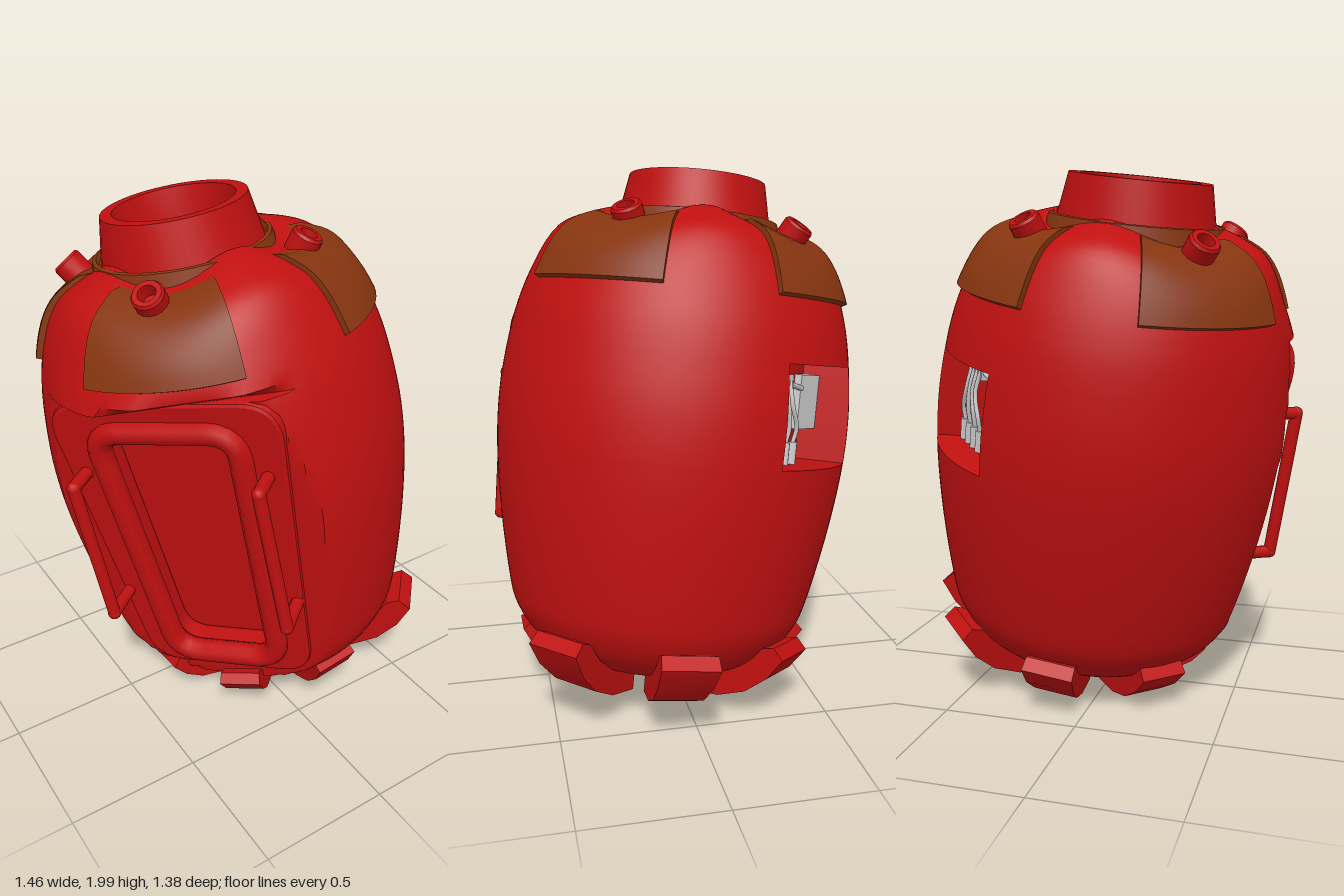
import * as THREE from 'three';
import { toCreasedNormals } from 'three/addons/utils/BufferGeometryUtils.js';

const mat = (color) => new THREE.MeshStandardMaterial({ color, side: THREE.DoubleSide });
const red = mat(0xc01010), olive = mat(0x86350f), green = mat(0x5a6010), grey = mat(0xcccccc);
const V = (x, y, z) => new THREE.Vector3(x, y, z);
const { degToRad: rad, radToDeg: deg, lerp, clamp, smoothstep } = THREE.MathUtils;
const DOOR = -52, HOOD = 1.46, TILT = 0.105;
const WIN = { a0: 112, a1: 154, t0: 0.95, t1: 1.31, r: 0.49 };

// barrel profile: radius by height along the axis
const profile = new THREE.SplineCurve([
  [0.24, 0.1], [0.37, 0.14], [0.48, 0.21], [0.55, 0.3], [0.585, 0.4], [0.635, 0.65], [0.668, 0.9], [0.675, 1.1],
  [0.66, 1.28], [0.63, 1.45], [0.575, 1.61], [0.5, 1.715], [0.4, 1.77], [0.28, 1.81],
].map((p) => new THREE.Vector2(...p))).getPoints(52);

function radiusAt(t) {
  const i = Math.min(Math.max(profile.findIndex((p) => p.y >= t), 1), profile.length - 1);
  const a = profile[i - 1], b = profile[i];
  return lerp(a.x, b.x, clamp((t - a.y) / (b.y - a.y), 0, 1));
}
// the shoulder dips under the four pads and rises between them
const lift = (a, t) => smoothstep(t, 1.58, 1.74) * (0.008 + 0.024 * Math.cos(4 * rad(a)));
const polar = (a, r, t) => V(r * Math.sin(rad(a)), t + lift(a, t), r * Math.cos(rad(a)));
const range = (a, b, n) => Array.from({ length: n + 1 }, (_, i) => a + ((b - a) * i) / n);

// surface through a grid of points, with optional cells left out
function surface(fn, us, vs, skip = () => false) {
  const pos = [];
  for (let i = 0; i + 1 < us.length; i++) {
    for (let j = 0; j + 1 < vs.length; j++) {
      if (skip((us[i] + us[i + 1]) / 2, (vs[j] + vs[j + 1]) / 2)) continue;
      const [a, b, c, d] = [[i, j], [i + 1, j], [i + 1, j + 1], [i, j + 1]].map(([k, l]) => fn(us[k], vs[l]));
      for (const p of [a, b, c, a, c, d]) pos.push(p.x, p.y, p.z);
    }
  }
  const g = new THREE.BufferGeometry();
  g.setAttribute('position', new THREE.Float32BufferAttribute(pos, 3));
  return toCreasedNormals(g, 0.7);
}

function add(parent, name, geometry, material = red) {
  const m = new THREE.Mesh(geometry, material);
  m.name = name;
  parent.add(m);
  return m;
}
function group(parent, name, angle = 0) {
  const g = new THREE.Group();
  g.name = name;
  g.rotation.y = rad(angle);
  parent.add(g);
  return g;
}
function bar(parent, name, p, q, r, material = red) {
  const m = add(parent, name, new THREE.CylinderGeometry(r, r, p.distanceTo(q), 10), material);
  m.position.copy(p).add(q).multiplyScalar(0.5);
  m.quaternion.setFromUnitVectors(V(0, 1, 0), q.clone().sub(p).normalize());
}

// barrel skin: cut flat at the door, recessed in its opening, with a hood above
function skin(a, t) {
  const r = t < 0.095 ? 0 : radiusAt(t);
  const d = rad(a - DOOR);
  let n = r * Math.cos(d), s = r * Math.sin(d);
  if (n <= 0.1) return polar(a, r, t);
  const flat = 0.39 + TILT * (t - 0.3);
  if (t >= HOOD) {
    const lip = Math.max(0, 1 - (t - HOOD) / 0.12) * Math.max(0, 1 - (s / 0.45) ** 2);
    n = Math.min(n + 0.03 * lip, 0.573 - 0.3 * s + 2 * (t - HOOD));
  } else if (n > flat) {
    s = flat * Math.tan(d);
    n = flat - (Math.abs(s) < 0.29 && t > 0.27 && t < 1.41 ? 0.12 : 0);
  }
  return polar(DOOR + deg(Math.atan2(s, n)), Math.hypot(s, n), t);
}

function roundedOutline(path, top, bottom, y0, y1, c) {
  path.moveTo(-bottom + c, y0);
  path.lineTo(bottom - c, y0);
  path.quadraticCurveTo(bottom, y0, bottom + 0.01, y0 + c);
  path.lineTo(top, y1 - c);
  path.quadraticCurveTo(top, y1, top - c, y1);
  path.lineTo(-top + c, y1);
  path.quadraticCurveTo(-top, y1, -top, y1 - c);
  path.lineTo(-bottom - 0.01, y0 + c);
  path.quadraticCurveTo(-bottom, y0, -bottom + c, y0);
  return path;
}

function addDoor(pod) {
  const door = group(pod, 'door', DOOR);
  const panel = group(door, 'doorPanel');
  panel.position.set(0, 0.24, 0.29);
  panel.rotation.x = TILT;
  const shape = roundedOutline(new THREE.Shape(), 0.41, 0.32, 0, 1.22, 0.12);
  const opening = roundedOutline(new THREE.Path(), 0.26, 0.21, 0.06, 1.12, 0.1);
  shape.holes.push(opening);
  add(panel, 'doorFrame', new THREE.ExtrudeGeometry(shape, {
    depth: 0.09, bevelThickness: 0.02, bevelSize: 0.015, bevelSegments: 2, curveSegments: 8 }));
  const loop = new THREE.CatmullRomCurve3(opening.getSpacedPoints(60).slice(0, -1).map((p) => V(p.x, p.y, 0.105)), true);
  add(panel, 'doorRim', new THREE.TubeGeometry(loop, 100, 0.045, 10, true));
  // grab handles on both sides of the opening
  for (const s of [-1, 1]) {
    const handle = group(door, s < 0 ? 'rightHandle' : 'leftHandle');
    const x = 0.34 * s, low = V(x, 0.6, 0.58), high = V(x, 1.17, 0.605);
    bar(handle, 'grip', low, high, 0.024);
    for (const p of [low, high]) {
      bar(handle, 'post', p, V(x, p.y, p.z - 0.16), 0.024);
      add(handle, 'elbow', new THREE.SphereGeometry(0.025, 10, 8)).position.copy(p);
    }
  }
}

function addServiceBay(pod) {
  const { a0, a1, t0, t1, r } = WIN;
  const bay = group(pod, 'serviceBay');
  const as = range(a0, a1, 14), ts = range(t0, t1, 8), ks = [0, 1];
  const mix = (a, t, k) => polar(a, lerp(radiusAt(t), r, k), t);
  add(bay, 'bayBack', surface((a, t) => polar(a, r, t), as, ts));
  add(bay, 'baySill', surface((a, k) => mix(a, t0, 1 - k), as, ks));
  add(bay, 'bayCeiling', surface((a, k) => mix(a, t1, k), as, ks));
  add(bay, 'baySideA', surface((k, t) => mix(a0, t, k), ks, ts));
  add(bay, 'baySideB', surface((k, t) => mix(a1, t, 1 - k), ks, ts));
  // junction box, connector and cables
  const kit = group(bay, 'wiring', (a0 + a1) / 2);
  add(kit, 'junctionBox', new THREE.BoxGeometry(0.15, 0.2, 0.05), grey).position.set(0.13, 1.17, 0.49);
  add(kit, 'connector', new THREE.BoxGeometry(0.13, 0.06, 0.05), grey).position.set(-0.11, 1.24, 0.51);
  bar(kit, 'mainCable', V(-0.06, 1.24, 0.52), V(0.07, 1.22, 0.51), 0.01, grey);
  for (let i = 0; i < 4; i++) {
    const x = -0.16 + i * 0.032, foot = -0.18 + i * 0.055;
    const path = new THREE.CatmullRomCurve3([V(x, 1.25, 0.53), V(x + 0.005, 1.16, 0.55), V(foot, 1.08, 0.55), V(foot, 1.03, 0.54)]);
    add(kit, 'cable', new THREE.TubeGeometry(path, 12, 0.008, 6), grey);
    bar(kit, 'plug', V(foot, 0.95, 0.54), V(foot, 1.03, 0.54), 0.016, grey);
  }
}

function addShoulder(pod) {
  const neck = group(pod, 'neck');
  neck.position.set(-0.02, 0, -0.02);
  // raised shoulder pads with a hollow nozzle on each
  const nozzle = [[0.03, -0.08], [0.057, -0.08], [0.057, 0.05], [0.05, 0.06], [0.032, 0.06], [0.028, 0.01], [0, 0.01]]
    .map((p) => new THREE.Vector2(...p));
  for (let k = 0; k < 4; k++) {
    const mid = 45 + 90 * k;
    const as = [mid - 26, ...range(mid - 25.9, mid + 25.9, 16), mid + 26];
    const ts = [1.53, ...range(1.535, 1.775, 14), 1.785];
    const pad = (a, t) => {
      const edge = Math.abs(a - mid) > 25.95 || t < 1.531 || t > 1.78;
      return polar(a, radiusAt(t) + (edge ? -0.01 : 0.02), t + (edge ? 0 : 0.01));
    };
    add(pod, 'shoulderPad', surface(pad, as, ts), olive);
    const mount = group(neck, 'nozzleMount', mid);
    const n = add(mount, 'nozzle', toCreasedNormals(new THREE.LatheGeometry(nozzle, 16), 0.6));
    n.position.set(0, 1.76, 0.42);
    n.rotation.x = 0.6;
  }
  // neck ring with a seating groove and a shallow well
  const lathe = (pts) => toCreasedNormals(new THREE.LatheGeometry(pts.map((p) => new THREE.Vector2(...p)), 48), 0.6);
  add(neck, 'neckSeat', lathe([[0.335, 1.77], [0.322, 1.825], [0.308, 1.828], [0.3, 1.81], [0.28, 1.81]]), olive);
  add(neck, 'neckRing', lathe([[0.298, 1.79], [0.262, 1.972], [0.22, 1.972], [0.205, 1.86], [0.2, 1.72], [0.17, 1.7]]));
  add(neck, 'wellFloor', new THREE.CircleGeometry(0.2, 40).rotateX(-Math.PI / 2).translate(0, 1.7, 0), green);
}

function addFeet(pod) {
  // curved feet, narrowing toward the base
  const side = new THREE.Shape([[0.22, 0.11], [0.22, 0.03], [0.37, 0.05], [0.49, 0.1], [0.58, 0.175], [0.64, 0.26],
    [0.6, 0.3], [0.55, 0.285], [0.48, 0.21], [0.38, 0.15]].map((p) => new THREE.Vector2(...p)));
  const g = new THREE.ExtrudeGeometry(side, { depth: 1, bevelEnabled: false }).translate(0, 0, -0.5);
  const p = g.attributes.position;
  for (let i = 0; i < p.count; i++) p.setZ(i, p.getZ(i) * (0.1 + 0.17 * p.getX(i)));
  const shape = toCreasedNormals(g, 0.5);
  // the feet under the lean are set lower and shorter
  [1, 0.96, 0.92, 0.87, 0.76, 0.76, 0.82, 1].forEach((size, k) => {
    const foot = add(pod, 'foot', shape);
    foot.rotation.y = (k * Math.PI) / 4;
    foot.scale.setScalar(size);
    foot.position.y = 0.02 * (1 - size);
  });
}

export function createModel() {
  const model = new THREE.Group();
  model.name = 'barrelPod';
  // the whole pod leans back to one side
  const pod = group(model, 'leaningPod');
  const axis = V(-0.131, 0.985, -0.116).normalize();
  pod.quaternion.setFromUnitVectors(V(0, 1, 0), axis);
  pod.position.set(0, 1, -0.01).sub(axis);

  const rows = [0.09, WIN.t0, WIN.t1, HOOD - 0.005, HOOD, ...profile.map((p) => p.y)].sort((a, b) => a - b);
  const inWindow = (a, t) => a > WIN.a0 && a < WIN.a1 && t > WIN.t0 && t < WIN.t1;
  add(pod, 'barrel', surface(skin, range(1, 361, 120), rows, inWindow));
  addDoor(pod);
  addServiceBay(pod);
  addShoulder(pod);
  addFeet(pod);
  return model;
}
